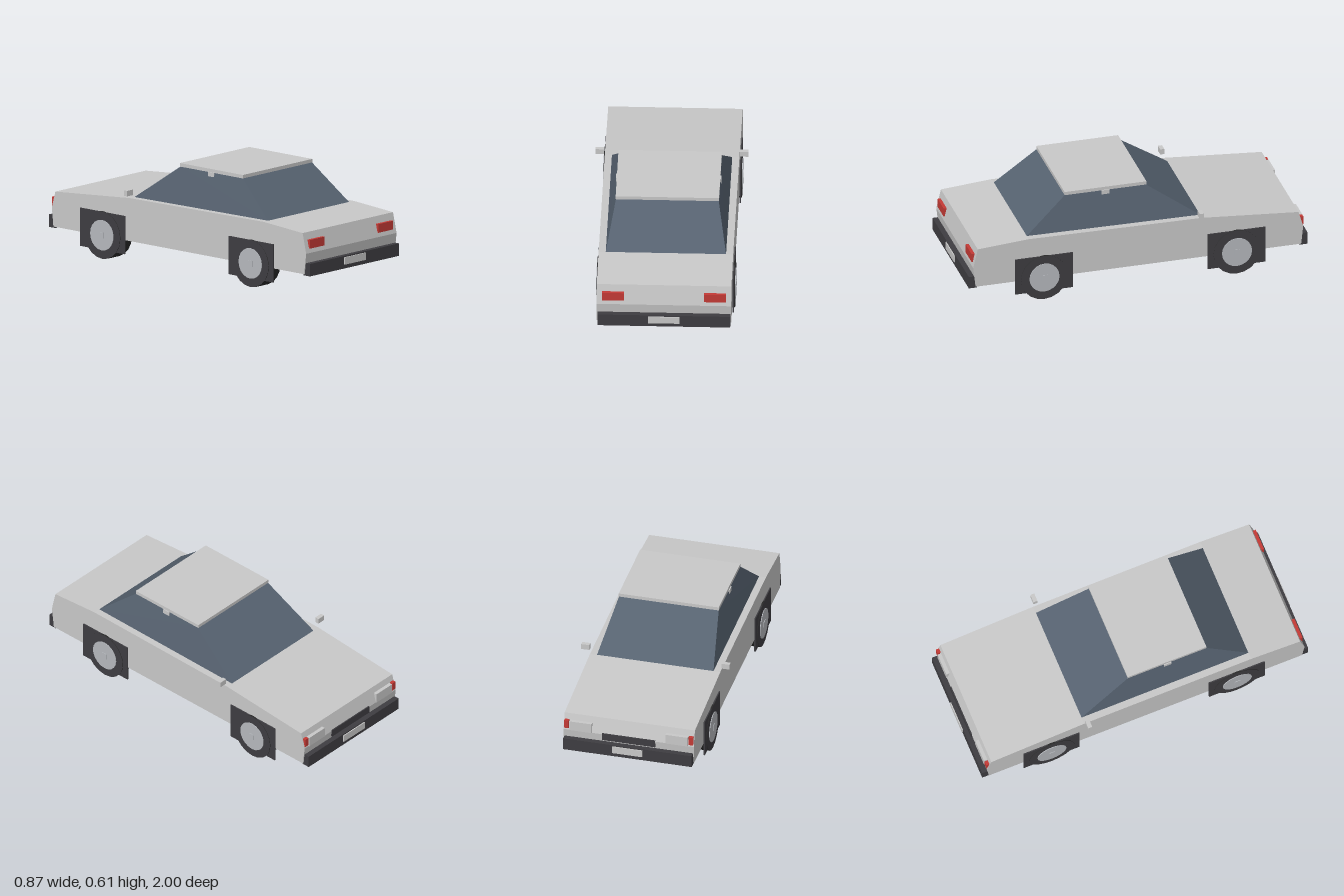
import * as THREE from 'three';
import { ConvexGeometry } from 'three/addons/geometries/ConvexGeometry.js';

const material = (name, color) => {
  const m = new THREE.MeshStandardMaterial({ color });
  m.name = name;
  return m;
};

export function createModel() {
  const car = new THREE.Group();
  car.name = 'sedan';

  const silver = material('silver paint', 0xc8c8c8);
  const glass = material('tinted glass', 0x566270);
  const trim = material('dark trim', 0x3e3d41);
  const rubber = material('tyre rubber', 0x2a2a2a);
  const metal = material('hub metal', 0xb5b8bd);
  const red = material('red lens', 0xc43a35);

  const add = (name, geometry, mat, x = 0, y = 0, z = 0) => {
    const mesh = new THREE.Mesh(geometry, mat);
    mesh.name = name;
    mesh.position.set(x, y, z);
    car.add(mesh);
    return mesh;
  };
  // Box given by its extents
  const box = (name, mat, x0, x1, y0, y1, z0, z1) =>
    add(name, new THREE.BoxGeometry(x1 - x0, y1 - y0, z1 - z0), mat,
      (x0 + x1) / 2, (y0 + y1) / 2, (z0 + z1) / 2);
  // The same box on both sides of the car
  const pair = (name, mat, x0, x1, ...rest) => {
    box(name + 'Left', mat, x0, x1, ...rest);
    box(name + 'Right', mat, -x1, -x0, ...rest);
  };

  // Lower body: side profile (z, y) extruded across the width
  const profile = [
    [0.955, 0.13], [0.97, 0.25], [0.943, 0.366], [0.645, 0.388],
    [-0.375, 0.378], [-0.94, 0.334], [-0.967, 0.24], [-0.955, 0.13],
  ].map(([z, y]) => new THREE.Vector2(-z, y));
  const bodyGeometry = new THREE.ExtrudeGeometry(new THREE.Shape(profile), { depth: 0.76, bevelEnabled: false });
  bodyGeometry.translate(0, 0, -0.38).rotateY(Math.PI / 2);
  add('body', bodyGeometry, silver);

  // Cabin glass tapering up to the roof
  const corners = [];
  for (const s of [-1, 1]) {
    for (const [x, y, z] of [[0.34, 0.387, 0.645], [0.34, 0.377, -0.375], [0.29, 0.592, 0.405], [0.29, 0.592, -0.065]]) {
      corners.push(new THREE.Vector3(s * x, y, z));
    }
  }
  add('cabinGlass', new ConvexGeometry(corners), glass);
  box('roof', silver, -0.292, 0.292, 0.59, 0.61, -0.072, 0.408);
  pair('pillarTab', silver, 0.28, 0.298, 0.567, 0.592, 0.147, 0.192);
  pair('mirror', silver, 0.385, 0.433, 0.4, 0.432, -0.37, -0.346);

  // Bumpers and plates at both ends
  for (const [end, s] of [['rear', 1], ['nose', -1]]) {
    const span = (a, b) => (s > 0 ? [a, b] : [-b, -a]);
    box(end + 'Bumper', trim, -0.375, 0.375, 0.122, 0.194, ...span(0.945, 0.994));
    box(end + 'Plate', silver, -0.088, 0.088, 0.145, 0.187, ...span(0.993, 1));
  }

  // Lamps and grille
  pair('tailLight', red, 0.226, 0.35, 0.275, 0.325, 0.94, 0.971);
  pair('headlight', silver, 0.215, 0.345, 0.24, 0.298, -0.971, -0.945);
  pair('markerLight', red, 0.35, 0.376, 0.25, 0.3, -0.969, -0.945);
  box('grille', trim, -0.155, 0.155, 0.205, 0.247, -0.972, -0.945);

  // Wheels with square arch panels
  const wheelY = 0.137;
  const disc = (r, width) => new THREE.CylinderGeometry(r, r, width, 20).rotateZ(Math.PI / 2);
  for (const [end, z] of [['rear', 0.555], ['nose', -0.575]]) {
    pair(end + 'ArchPanel', trim, 0.379, 0.387, 0.05, 0.27, z - 0.17, z + 0.17);
    pair(end + 'HubCap', metal, 0.38, 0.397, 0.12, 0.154, z - 0.017, z + 0.017);
    for (const s of [1, -1]) {
      const side = s > 0 ? 'Left' : 'Right';
      const tyre = add(end + 'Tyre' + side, disc(0.137, 0.1), [rubber, trim, trim], s * 0.34, wheelY, z);
      tyre.geometry.computeVertexNormals();
      add(end + 'Hub' + side, disc(0.088, 0.108), metal, s * 0.34, wheelY, z);
    }
  }

  return car;
}
